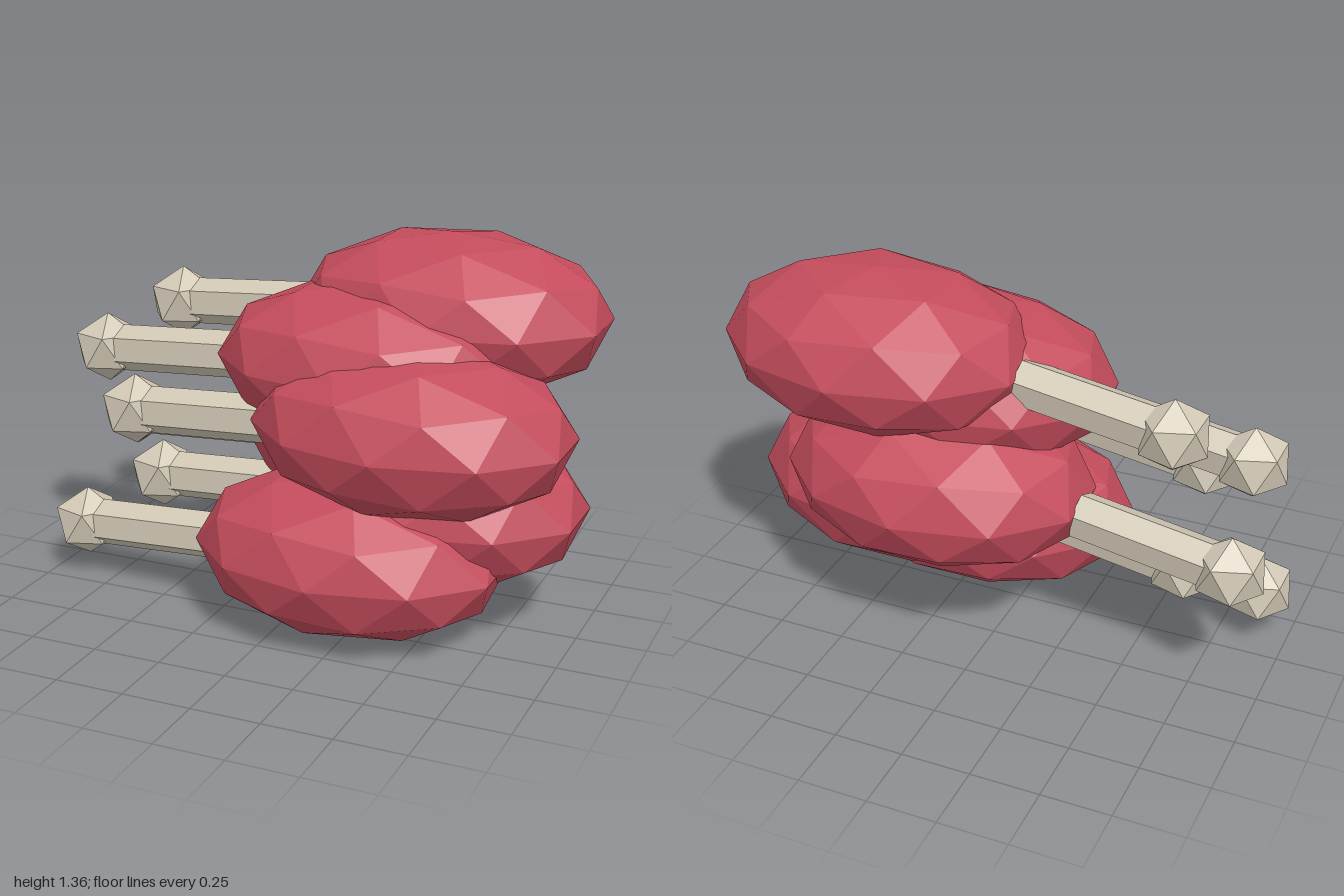
import * as THREE from 'three';

// Faceted ball with a corner pointing straight up and an upper corner toward +x
function facetedBall(radius, detail) {
  const geo = new THREE.IcosahedronGeometry(radius, detail);
  geo.rotateX(-Math.atan((1 + Math.sqrt(5)) / 2));
  geo.rotateY(Math.PI / 2);
  return geo;
}

// Plump meat: stretched ball, slightly flattened at the top and bottom
function meatGeometry() {
  const geo = facetedBall(1, 1);
  geo.scale(0.575, 0.298, 0.413);
  const pos = geo.attributes.position;
  for (let i = 0; i < pos.count; i++) {
    pos.setY(i, THREE.MathUtils.clamp(pos.getY(i), -0.285, 0.285));
  }
  geo.computeVertexNormals();
  return geo;
}

export function createModel() {
  const meatRed = new THREE.MeshStandardMaterial({ color: 0xc44c5c, flatShading: true });
  meatRed.name = 'meatRed';
  const boneCream = new THREE.MeshStandardMaterial({ color: 0xd2c9b6, flatShading: true });
  boneCream.name = 'boneCream';

  // Bone runs from the knob into the narrow end of the meat
  const knobAt = new THREE.Vector3(-1.105, -0.09, -0.065);
  const boneEnd = knobAt.clone().add(new THREE.Vector3(0.565, 0.05, 0.058));
  const axis = boneEnd.clone().sub(knobAt);

  const meatGeo = meatGeometry();
  const knobGeo = facetedBall(0.133, 0);
  const boneGeo = new THREE.CylinderGeometry(0.087, 0.087, axis.length(), 6, 1, false, 0.31);

  const model = new THREE.Group();
  model.name = 'drumstickPile';

  // Six drumsticks, staggered sideways and in depth as they stack up
  for (let i = 0; i < 6; i++) {
    const drumstick = new THREE.Group();
    drumstick.name = `drumstick${i + 1}`;

    const meat = new THREE.Mesh(meatGeo, meatRed);
    meat.name = 'meat';

    const bone = new THREE.Mesh(boneGeo, boneCream);
    bone.name = 'bone';
    bone.position.copy(knobAt).add(boneEnd).multiplyScalar(0.5);
    bone.quaternion.setFromUnitVectors(new THREE.Vector3(0, 1, 0), axis.clone().normalize());

    const knob = new THREE.Mesh(knobGeo, boneCream);
    knob.name = 'boneKnob';
    knob.position.copy(knobAt);

    drumstick.add(meat, bone, knob);
    drumstick.position.set(0.226 + (i % 2) * 0.222, 0.285 + i * 0.1586, 0.198 * (1 - (i % 3)));
    model.add(drumstick);
  }
  return model;
}
